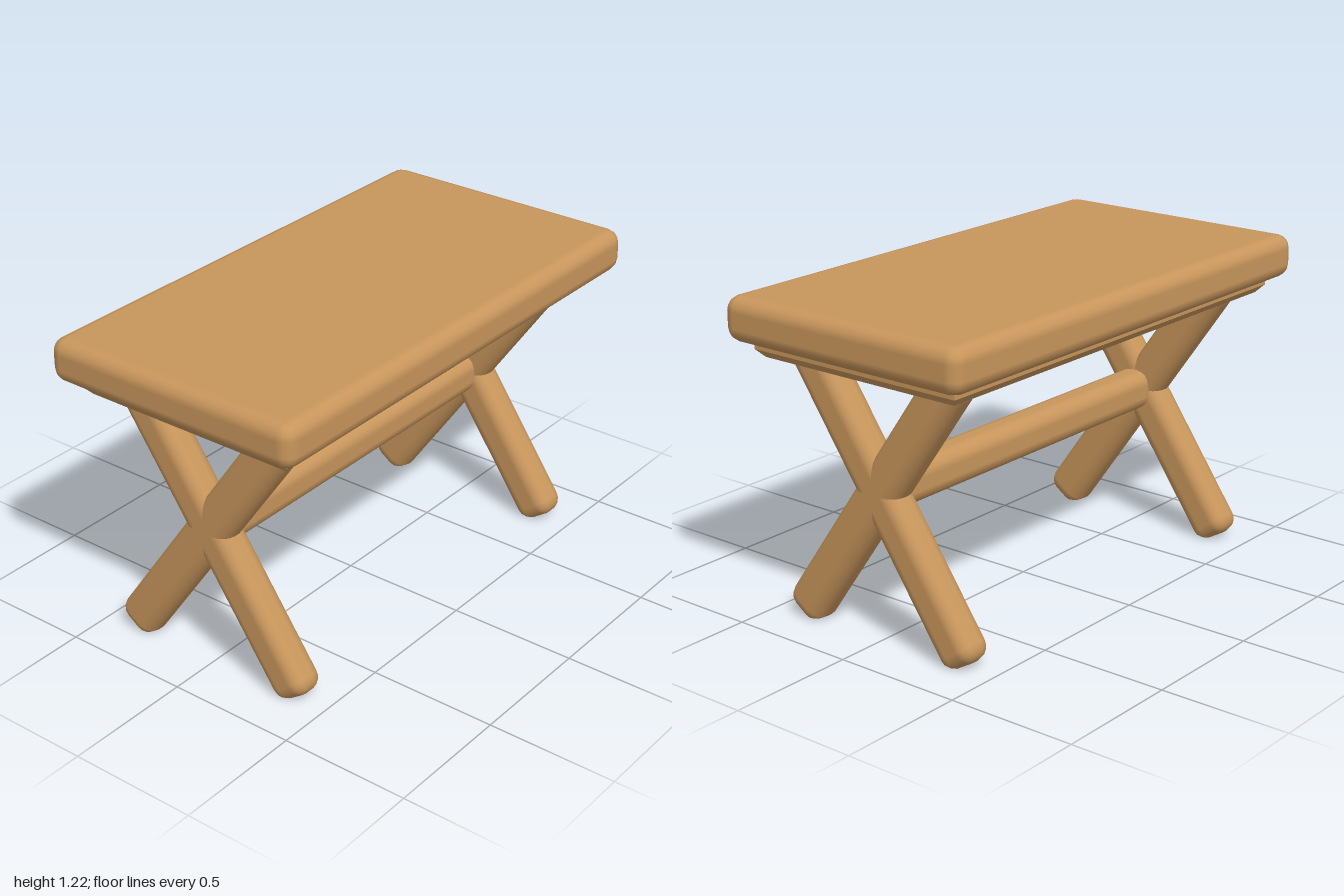
import * as THREE from 'three';
import { RoundedBoxGeometry } from 'three/addons/geometries/RoundedBoxGeometry.js';

const wood = new THREE.MeshStandardMaterial({ color: 0xc8965c });
wood.name = 'warm wood';

function part(name, geometry, parent) {
  const mesh = new THREE.Mesh(geometry, wood);
  mesh.name = name;
  parent.add(mesh);
  return mesh;
}

// Board with the lower edges cut off at an angle
function chamferedBoard(w, h, d, cut) {
  const g = new THREE.BoxGeometry(w, h, d, 1, 2, 1).toNonIndexed();
  const p = g.attributes.position;
  for (let i = 0; i < p.count; i++) {
    if (p.getY(i) < -h / 4) {
      p.setX(i, p.getX(i) - Math.sign(p.getX(i)) * cut);
      p.setZ(i, p.getZ(i) - Math.sign(p.getZ(i)) * cut);
    }
  }
  g.computeVertexNormals();
  return g;
}

// Slanted rounded bar through the crossing point, its foot cut flat at the floor
function legGeometry(side) {
  const foot = 0.67, top = 0.6, crossing = 0.56;
  const g = new RoundedBoxGeometry(0.134, foot + top, 0.166, 2, 0.055);
  g.translate(0, (top - foot) / 2, 0);
  g.rotateX(-side * Math.atan2(0.573, 0.82));
  g.translate(0, crossing, 0);
  const p = g.attributes.position, n = g.attributes.normal;
  for (let i = 0; i < p.count; i += 3) {
    let low = 0;
    for (let k = i; k < i + 3; k++) {
      if (p.getY(k) <= 0) { p.setY(k, 0); low++; }
    }
    if (low === 3) for (let k = i; k < i + 3; k++) n.setXYZ(k, 0, -1, 0);
  }
  return g;
}

export function createModel() {
  const table = new THREE.Group();
  table.name = 'table';

  // Thick rounded top and the board beneath it
  part('tabletop', new RoundedBoxGeometry(2, 0.168, 1.066, 2, 0.055), table).position.y = 1.134;
  part('underBoard', chamferedBoard(1.84, 0.06, 0.914, 0.027), table).position.y = 1.02;

  // A crossed pair of legs at each end
  for (const x of [-0.77, 0.77]) {
    const pair = new THREE.Group();
    pair.name = x > 0 ? 'leftLegs' : 'rightLegs';
    pair.position.x = x;
    part('frontLeg', legGeometry(1), pair);
    part('backLeg', legGeometry(-1), pair);
    table.add(pair);
  }

  // Bar joining the two crossings
  part('stretcher', new RoundedBoxGeometry(1.5, 0.155, 0.14, 2, 0.055), table).position.y = 0.5625;

  return table;
}
